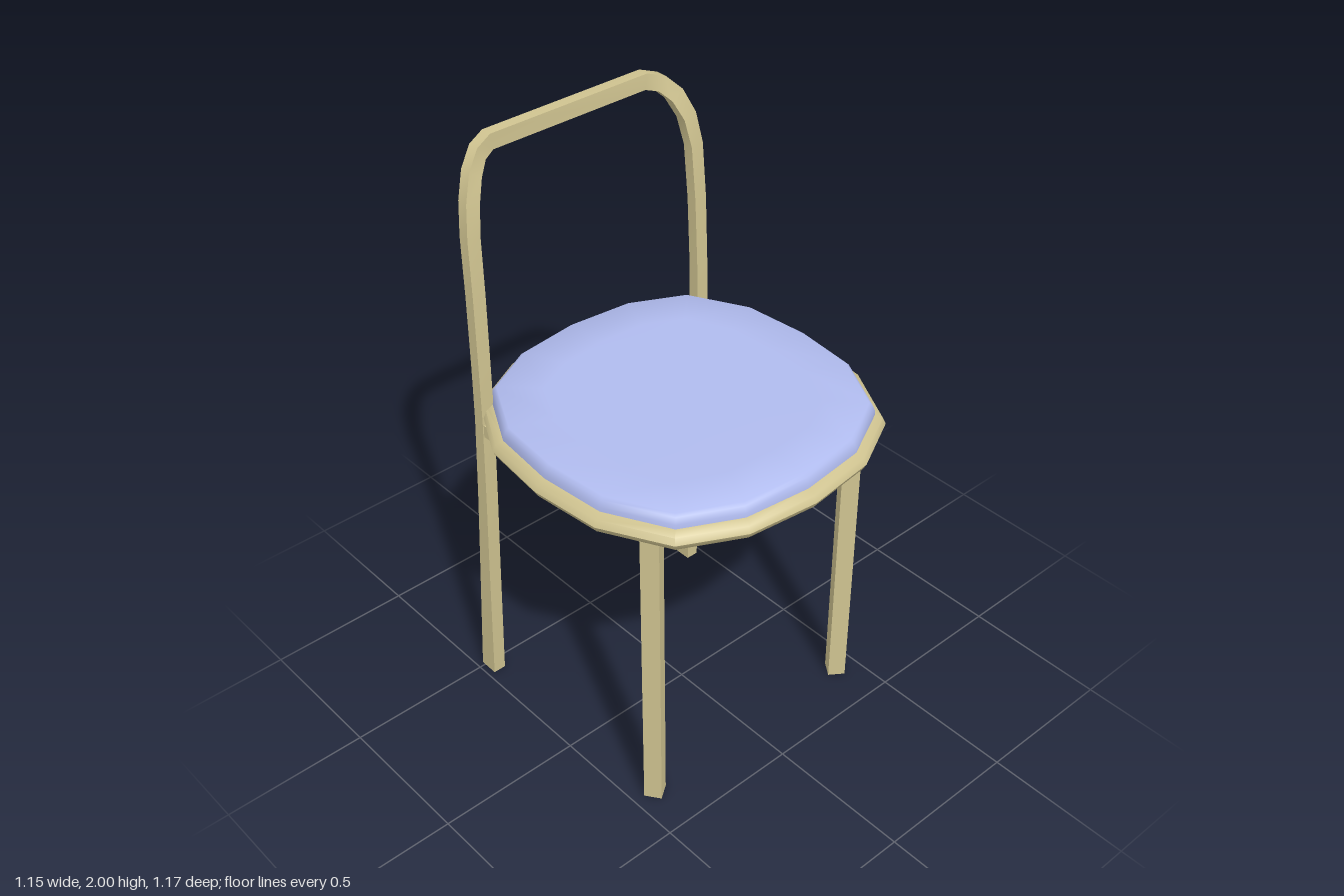
import * as THREE from 'three';
import { toCreasedNormals } from 'three/addons/utils/BufferGeometryUtils.js';

const wood = new THREE.MeshStandardMaterial({ color: 0xcfc390 });
const fabric = new THREE.MeshStandardMaterial({ color: 0xb0bbee });

// Skin a list of equal-length rings; both ends are capped to their centres
function loft(rings, crease) {
  const centre = (ring) => {
    const c = new THREE.Vector3();
    ring.forEach((p) => c.add(p));
    c.divideScalar(ring.length);
    return ring.map(() => c);
  };
  const all = [centre(rings[0]), ...rings, centre(rings[rings.length - 1])];
  const n = rings[0].length;
  const index = [];
  for (let i = 0; i < all.length - 1; i++) {
    for (let j = 0; j < n; j++) {
      const k = (j + 1) % n;
      const a = i * n + j, b = i * n + k, c = b + n, d = a + n;
      if (i > 0) index.push(a, b, c);
      if (i < all.length - 2) index.push(a, c, d);
      if (i === 0) index.push(a, b, c);
      if (i === all.length - 2) index.push(a, b, c);
    }
  }
  // the cap rows keep only their non-degenerate triangles
  const tris = [];
  const flat = all.flat();
  for (let t = 0; t < index.length; t += 3) {
    const [p, q, r] = [flat[index[t]], flat[index[t + 1]], flat[index[t + 2]]];
    const area = q.clone().sub(p).cross(r.clone().sub(p)).length();
    if (area > 1e-10) tris.push(index[t], index[t + 1], index[t + 2]);
  }
  const g = new THREE.BufferGeometry().setFromPoints(flat);
  g.setIndex([...new Set(chunk(tris))].flatMap((s) => s.split(',').map(Number)));
  return toCreasedNormals(g, crease);
}

// Triangles as strings, so repeats can be dropped
function chunk(list) {
  const out = [];
  for (let i = 0; i < list.length; i += 3) out.push(list.slice(i, i + 3).join(','));
  return out;
}

function addMesh(group, name, geometry, material) {
  const mesh = new THREE.Mesh(geometry, material);
  mesh.name = name;
  group.add(mesh);
  return mesh;
}

// Sixteen-sided rounded-square seat outline, from one quarter mirrored
function seatOutline() {
  const q = [[0, 0.585], [0.24, 0.557], [0.435, 0.455], [0.55, 0.24]];
  const right = [...q, [0.575, 0], ...q.slice(1).reverse().map(([x, z]) => [x, -z])];
  return [...right, ...right.map(([x, z]) => [-x, -z])];
}

// Seat layer from a profile of [inset, height]
function seatLayer(profile, crease) {
  const outline = seatOutline();
  return loft(profile.map(([inset, y]) => outline.map(([x, z]) => {
    const s = 1 - inset / Math.hypot(x, z);
    return new THREE.Vector3(x * s, y, z * s);
  })), crease);
}

// Back legs and backrest: one bent bar, swept foot to foot
function backFrame() {
  // centre x, y, z, width across the bar, depth
  const half = [
    [0.455, 0, -0.48, 0.045, 0.068],
    [0.455, 0.25, -0.463, 0.045, 0.06],
    [0.455, 0.5, -0.446, 0.045, 0.052],
    [0.453, 0.8, -0.428, 0.045, 0.045],
    [0.45, 1.1, -0.415, 0.045, 0.04],
    [0.448, 1.3, -0.414, 0.045, 0.038],
    [0.443, 1.55, -0.419, 0.046, 0.038],
    [0.437, 1.74, -0.43, 0.047, 0.038],
    [0.42, 1.84, -0.445, 0.05, 0.038],
    [0.388, 1.913, -0.468, 0.052, 0.038],
    [0.345, 1.957, -0.492, 0.052, 0.038],
    [0.295, 1.973, -0.508, 0.053, 0.038],
  ];
  const path = [...half, ...half.slice().reverse().map(([x, ...rest]) => [-x, ...rest])];
  const rings = path.map(([x, y, z, w, d], i) => {
    const a = path[Math.max(i - 1, 0)], b = path[Math.min(i + 1, path.length - 1)];
    const before = new THREE.Vector2(x - a[0], y - a[1]).normalize();
    const after = new THREE.Vector2(b[0] - x, b[1] - y).normalize();
    const t = before.add(after).normalize();
    return [[-1, 1], [1, 1], [1, -1], [-1, -1]].map(([u, v]) =>
      new THREE.Vector3(x + t.y * u * w / 2, y - t.x * u * w / 2, z + v * d / 2));
  });
  return loft(rings, 0.6);
}

export function createModel() {
  const chair = new THREE.Group();
  chair.name = 'chair';

  // Seat: rounded wooden rim with a flat underside, and a low pad
  addMesh(chair, 'seatRim', seatLayer([
    [0.03, 1.09], [0.012, 1.1], [0, 1.122], [0.01, 1.143], [0.035, 1.156],
  ], 0.75), wood);
  addMesh(chair, 'seatCushion', seatLayer([
    [0.034, 1.15], [0.036, 1.17], [0.045, 1.19], [0.055, 1.198], [0.2, 1.2],
  ], 0.9), fabric);

  addMesh(chair, 'backFrame', backFrame(), wood);

  for (const side of [1, -1]) {
    // Front leg: square post, turned
    const leg = addMesh(chair, side > 0 ? 'leftFrontLeg' : 'rightFrontLeg',
      toCreasedNormals(new THREE.CylinderGeometry(0.041, 0.041, 1.095, 4), 0.5), wood);
    leg.position.set(side * 0.419, 1.095 / 2, 0.336);
    leg.rotation.y = side * 0.17;

    // Rail under the seat from front leg to back leg
    const from = new THREE.Vector3(side * 0.42, 1.072, 0.33);
    const to = new THREE.Vector3(side * 0.45, 1.072, -0.41);
    const rail = addMesh(chair, side > 0 ? 'leftSeatRail' : 'rightSeatRail',
      new THREE.BoxGeometry(0.04, 0.044, from.distanceTo(to)), wood);
    rail.position.copy(from).lerp(to, 0.5);
    rail.lookAt(to);
  }
  return chair;
}
